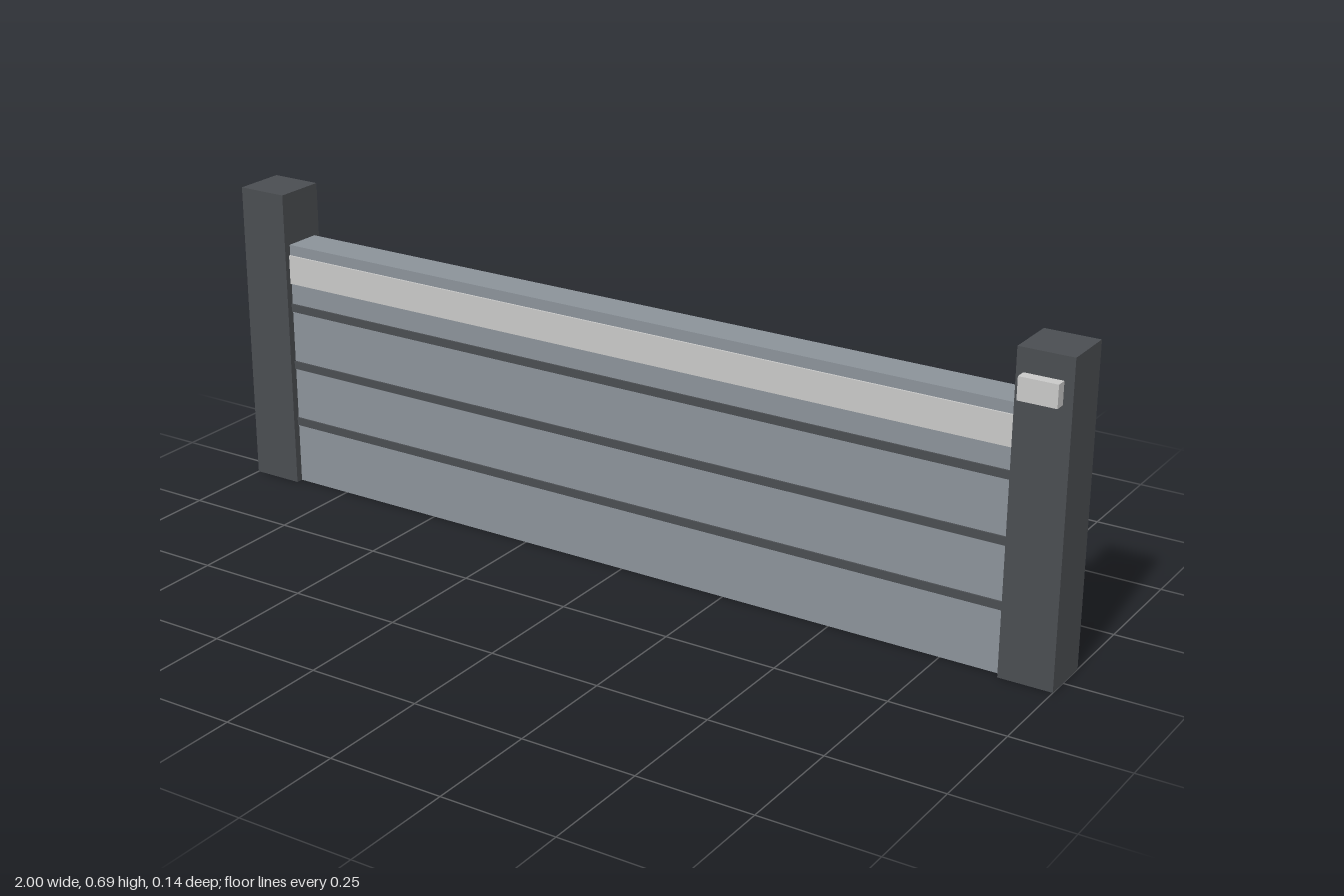
import * as THREE from 'three';

export function createModel() {
  const group = new THREE.Group();
  const mat = (name, color) => {
    const m = new THREE.MeshStandardMaterial({ color });
    m.name = name;
    return m;
  };
  const darkGrey = mat('dark grey', 0x4a4d51);
  const slateGrey = mat('slate grey', 0x8b9299);
  const lightGrey = mat('light grey', 0xc8c8c7);

  // Box given by its lower and upper bounds
  const box = (name, material, [x0, y0, z0], [x1, y1, z1]) => {
    const mesh = new THREE.Mesh(new THREE.BoxGeometry(x1 - x0, y1 - y0, z1 - z0), material);
    mesh.position.set((x0 + x1) / 2, (y0 + y1) / 2, (z0 + z1) / 2);
    mesh.name = name;
    group.add(mesh);
  };

  // End posts
  box('rightPost', darkGrey, [-1, 0, -0.07], [-0.883, 0.686, 0.047]);
  box('leftPost', darkGrey, [0.883, 0, -0.07], [1, 0.686, 0.047]);

  // Panel between the posts
  const back = -0.054, front = 0.031, half = 0.883;
  box('panel', slateGrey, [-half, 0, back], [half, 0.568, front]);

  // Thin bands on both faces: dark seams and one light stripe
  const band = (name, material, y, height) => {
    for (const [side, z0, z1] of [['Front', front, front + 0.004], ['Back', back - 0.004, back]]) {
      box(name + side, material, [-half, y - height / 2, z0], [half, y + height / 2, z1]);
    }
  };
  for (let i = 1; i <= 3; i++) band('seam' + i, darkGrey, 0.01 + i * 0.137, 0.018);
  band('stripe', lightGrey, 0.511, 0.066);

  // Small control box on the left post
  box('controlBox', lightGrey, [0.898, 0.589, 0.047], [0.98, 0.637, 0.071]);

  return group;
}
